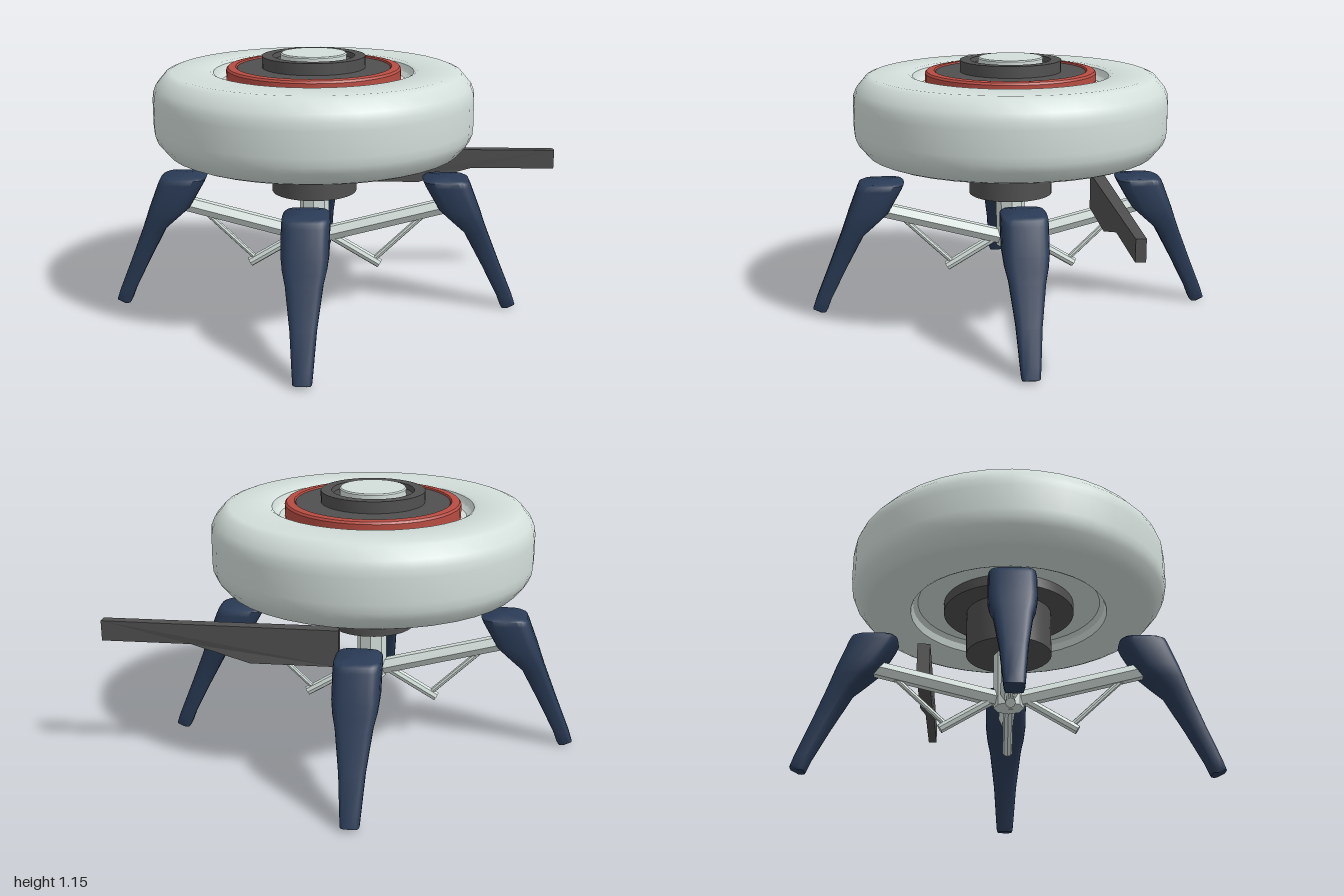
import * as THREE from 'three';
import { toCreasedNormals } from 'three/addons/utils/BufferGeometryUtils.js';

const AXIS_X = -0.1; // centre of the seat and base

const paint = (color) => new THREE.MeshStandardMaterial({ color });
const pale = paint(0xd3deda);
const dark = paint(0x505050);
const red = paint(0xb84c42);
const blue = paint(0x2a3b56);

function add(parent, name, geometry, material) {
  const mesh = new THREE.Mesh(geometry, material);
  mesh.name = name;
  parent.add(mesh);
  return mesh;
}

// Turned part: profile runs from the bottom, round the outside, to the top
function turned(profile, segments = 40, crease = 0.6) {
  const points = profile.map(([r, y]) => new THREE.Vector2(r, y));
  return toCreasedNormals(new THREE.LatheGeometry(points, segments), crease);
}

// Straight bar between two points given as [radius, height]
function bar(parent, name, a, b, radius, sides) {
  const from = new THREE.Vector3(a[0], a[1], 0);
  const to = new THREE.Vector3(b[0], b[1], 0);
  const dir = to.clone().sub(from);
  const geometry = toCreasedNormals(
    new THREE.CylinderGeometry(radius, radius, dir.length(), sides), 0.5);
  const mesh = add(parent, name, geometry, pale);
  mesh.position.copy(from).add(to).multiplyScalar(0.5);
  mesh.quaternion.setFromUnitVectors(new THREE.Vector3(0, 1, 0), dir.normalize());
}

// Leg: a cylinder reshaped to rounded-box sections [height, inner, outer, halfWidth]
function legGeometry() {
  const sections = [
    [0.0, 0.84, 0.87, 0.033],
    [0.015, 0.832, 0.9, 0.038],
    [0.06, 0.815, 0.885, 0.042],
    [0.2, 0.745, 0.828, 0.053],
    [0.36, 0.66, 0.765, 0.075],
    [0.41, 0.605, 0.747, 0.088],
    [0.46, 0.55, 0.73, 0.095],
    [0.57, 0.487, 0.688, 0.096],
    [0.592, 0.477, 0.678, 0.094],
    [0.6, 0.487, 0.66, 0.086],
  ];
  const last = sections.length - 1;
  const geometry = new THREE.CylinderGeometry(1, 1, 1, 24, last);
  const square = (v) => Math.sign(v) * Math.pow(Math.abs(v), 0.5);
  const pos = geometry.attributes.position;
  for (let i = 0; i < pos.count; i++) {
    const [y, inner, outer, half] = sections[Math.round((pos.getY(i) + 0.5) * last)];
    const u = Math.abs(pos.getX(i)) < 1e-6 ? 0 : square(pos.getX(i));
    const w = Math.abs(pos.getZ(i)) < 1e-6 ? 0 : square(pos.getZ(i));
    pos.setXYZ(i, (inner + outer) / 2 + u * (outer - inner) / 2, y, w * half);
  }
  return toCreasedNormals(geometry, 0.8);
}

export function createModel() {
  const model = new THREE.Group();
  model.name = 'stool';
  const body = new THREE.Group();
  body.name = 'body';
  body.position.x = AXIS_X;
  model.add(body);

  // Cushion with a sunken well above and below
  add(body, 'cushion', turned([
    [0, 0.78], [0.4, 0.78], [0.42, 0.765], [0.43, 0.735], [0.445, 0.727],
    [0.61, 0.727], [0.635, 0.737], [0.675, 0.785], [0.687, 0.815], [0.69, 0.85],
    [0.69, 0.955], [0.687, 0.99], [0.675, 1.02], [0.635, 1.067], [0.61, 1.077],
    [0.445, 1.077], [0.43, 1.069], [0.42, 1.04], [0.4, 1.025], [0, 1.025],
  ]), pale);

  // Top trim
  add(body, 'trimRing', turned([
    [0.33, 1.02], [0.375, 1.02], [0.375, 1.08], [0.368, 1.089],
    [0.355, 1.091], [0.335, 1.091], [0.33, 1.08], [0.33, 1.02],
  ]), red);
  add(body, 'topPlate', turned([
    [0, 1.03], [0.329, 1.03], [0.329, 1.085], [0.222, 1.085], [0.222, 1.135],
    [0.176, 1.135], [0.17, 1.115], [0, 1.115],
  ]), dark);
  add(body, 'topCap', turned([
    [0, 1.1], [0.142, 1.1], [0.142, 1.142], [0.137, 1.147], [0, 1.147],
  ]), pale);

  // Hub and column below the cushion
  add(body, 'mountingPlate', turned([
    [0, 0.735], [0.285, 0.735], [0.285, 0.79], [0, 0.79],
  ]), dark);
  add(body, 'hub', turned([
    [0, 0.537], [0.185, 0.537], [0.185, 0.74], [0, 0.74],
  ]), dark);
  bar(body, 'column', [0, 0.29], [0, 0.56], 0.065, 8);

  // Four legs, each with its beam and bracing
  const leg = legGeometry();
  for (let i = 0; i < 4; i++) {
    const unit = new THREE.Group();
    unit.name = 'legUnit' + (i + 1);
    unit.rotation.y = i * Math.PI / 2;
    body.add(unit);
    add(unit, 'leg', leg, blue);
    bar(unit, 'beam', [0, 0.32], [0.6, 0.475], 0.036, 6);
    bar(unit, 'lowerBrace', [0, 0.37], [0.29, 0.195], 0.021, 8);
    bar(unit, 'diagonalBrace', [0.26, 0.21], [0.5, 0.44], 0.012, 8);
  }

  // Side lever: flat handle with a deeper, slightly thicker root
  const lever = new THREE.Shape();
  [[0, 0.48], [0.37, 0.48], [0.62, 0.55], [1, 0.55], [1, 0.638], [0, 0.638]]
    .forEach(([x, y], i) => (i ? lever.lineTo(x, y) : lever.moveTo(x, y)));
  const leverGeometry = new THREE.ExtrudeGeometry(lever, { depth: 0.04, bevelEnabled: false });
  leverGeometry.translate(0, 0, -0.39);
  const pos = leverGeometry.attributes.position;
  for (let i = 0; i < pos.count; i++) {
    if (pos.getX(i) < 0.5) pos.setZ(i, pos.getZ(i) < -0.37 ? -0.402 : -0.345);
  }
  leverGeometry.computeVertexNormals();
  add(model, 'lever', leverGeometry, dark);

  return model;
}
